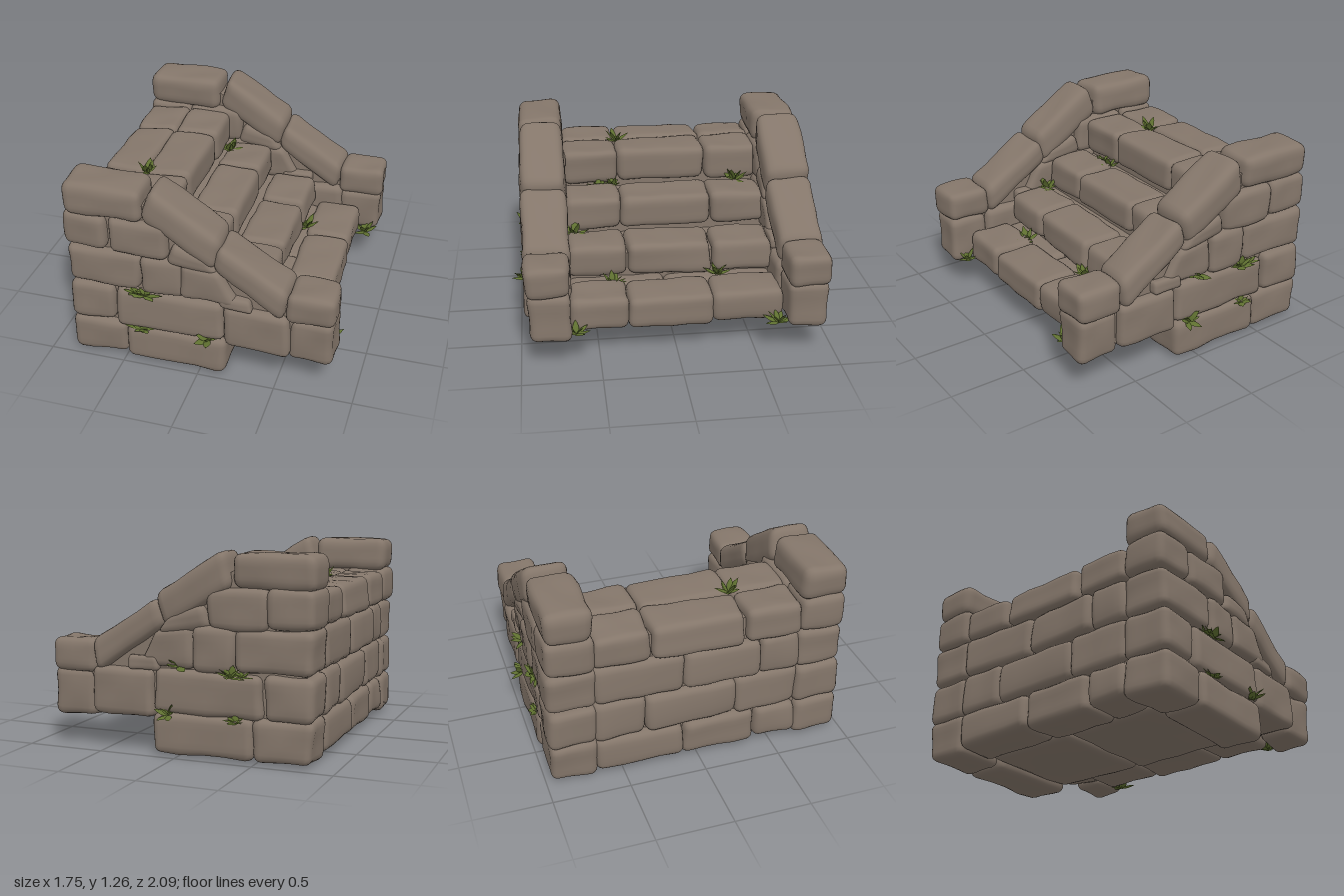
import * as THREE from 'three';
import { mergeVertices, mergeGeometries } from 'three/addons/utils/BufferGeometryUtils.js';

const stoneMat = new THREE.MeshStandardMaterial({ color: 0x84766a });
stoneMat.name = 'stone';
const leafMat = new THREE.MeshStandardMaterial({ color: 0x5f7030, side: THREE.DoubleSide });
leafMat.name = 'leaf green';

// Small seeded random generator
let seed = 7;
const rand = () => {
  seed = (seed * 16807) % 2147483647;
  return seed / 2147483647;
};
const jitter = (a) => (rand() * 2 - 1) * a;

// Worn stone: a rounded block stretched between four xy corners
// (bottom-left, bottom-right, top-right, top-left) and two z values
function stone(name, q, z0, z1, r = 0.05) {
  const w = (Math.hypot(q[1][0] - q[0][0], q[1][1] - q[0][1]) + Math.hypot(q[2][0] - q[3][0], q[2][1] - q[3][1])) / 2;
  const h = (Math.hypot(q[3][0] - q[0][0], q[3][1] - q[0][1]) + Math.hypot(q[2][0] - q[1][0], q[2][1] - q[1][1])) / 2;
  const size = [w, h, z1 - z0];
  r = Math.min(r, Math.min(...size) * 0.3);
  // Random shift for each of the eight corners
  const shift = Array.from({ length: 8 }, () => [jitter(0.013), jitter(0.01), jitter(0.011)]);
  const ph = [rand() * 6, rand() * 6, rand() * 6];

  let g = new THREE.BoxGeometry(2, 2, 2, 8, 8, 8);
  g.deleteAttribute('uv');
  g.deleteAttribute('normal');
  g = mergeVertices(g);
  const pos = g.attributes.position;
  for (let i = 0; i < pos.count; i++) {
    const c = [pos.getX(i), pos.getY(i), pos.getZ(i)];
    const inner = [], off = [];
    c.forEach((t, k) => {
      const a = Math.abs(t), half = size[k] / 2 - r;
      inner[k] = Math.sign(t) * half * Math.min(1, a * 2);
      off[k] = Math.sign(t) * Math.max(0, a * 2 - 1);
    });
    const len = Math.hypot(...off);
    const f = inner.map((v, k) => (v + (off[k] / len) * r) / size[k] + 0.5);
    // Bilinear placement in the quad
    const [u, v, s] = f;
    const p = [0, 1].map((k) =>
      (q[0][k] * (1 - u) + q[1][k] * u) * (1 - v) + (q[3][k] * (1 - u) + q[2][k] * u) * v);
    p.push(z0 + (z1 - z0) * s);
    for (let n = 0; n < 8; n++) {
      const wt = (n & 1 ? u : 1 - u) * (n & 2 ? v : 1 - v) * (n & 4 ? s : 1 - s);
      for (let k = 0; k < 3; k++) p[k] += shift[n][k] * wt;
    }
    // Gentle surface wear
    const wear = 0.005 * Math.sin(p[0] * 17 + ph[0]) * Math.sin(p[1] * 19 + ph[1]) + 0.004 * Math.sin(p[2] * 21 + p[0] * 13 + ph[2]);
    for (let k = 0; k < 3; k++) p[k] += (off[k] / len) * wear;
    pos.setXYZ(i, ...p);
  }
  g.computeVertexNormals();
  const m = new THREE.Mesh(g, stoneMat);
  m.name = name;
  return m;
}
const rect = (x0, x1, y0, y1) => [[x0, y0], [x1, y0], [x1, y1], [x0, y1]];

// Plain filling behind the stones
function core(name, pts, z0, z1) {
  const shape = new THREE.Shape(pts.map((p) => new THREE.Vector2(...p)));
  const g = new THREE.ExtrudeGeometry(shape, { depth: z1 - z0, bevelEnabled: false });
  g.translate(0, 0, z0);
  const m = new THREE.Mesh(g, stoneMat);
  m.name = name;
  return m;
}

// Clump of bent pointed leaves
function plant(x, y, z, side = 0, size = 0.085, flat = 1) {
  const leaves = [];
  for (let i = 0; i < 10; i++) {
    const l = size * (0.8 + rand() * 0.5);
    const g = new THREE.PlaneGeometry(1, 1, 2, 4);
    const p = g.attributes.position;
    for (let j = 0; j < p.count; j++) {
      const t = p.getY(j) + 0.5;
      const wide = 0.48 * l * Math.sin(Math.PI * (0.12 + 0.88 * t));
      p.setXYZ(j, p.getX(j) * wide, t * l, t * t * l * 0.35 + Math.abs(p.getX(j)) * wide * 0.5);
    }
    g.rotateX(i < 4 ? 0.15 + rand() * 0.3 : 0.6 + rand() * 0.5);
    g.rotateY(i * 2.4 + jitter(0.3));
    leaves.push(g);
  }
  const g = mergeGeometries(leaves);
  g.computeVertexNormals();
  const m = new THREE.Mesh(g, leafMat);
  m.name = 'plant';
  m.position.set(x, y, z);
  m.rotation.x = side * 0.45;
  m.scale.set(flat > 1 ? 1.25 : 1, 1 / flat, flat > 1 ? 0.5 : 1);
  return m;
}

export function createModel() {
  const model = new THREE.Group();
  model.name = 'stoneStairs';

  // Side walls: coursed stones, sloping rail and end post
  const blocks = [
    [-0.86, -0.49, 0.01, 0.265], [-0.49, 0.17, 0.005, 0.26],
    [-0.86, -0.55, 0.265, 0.535], [-0.55, 0.16, 0.25, 0.53], [0.155, 0.58, 0.215, 0.52],
    [-0.86, -0.37, 0.535, 0.8], [-0.37, -0.1, 0.53, 0.8], [0.13, 0.34, 0.515, 0.6],
    [-0.865, -0.58, 0.8, 1.04], [-0.58, -0.19, 0.79, 1.04],
  ].map((b) => rect(...b));
  blocks.push([[-0.12, 0.53], [0.26, 0.53], [0.14, 0.77], [-0.1, 0.8]]);
  blocks.push([[-0.22, 0.78], [0.13, 0.75], [0.05, 0.87], [-0.17, 0.93]]);
  const rail = [
    rect(-0.87, -0.35, 1.025, 1.25),
    [[-0.37, 1.05], [0.09, 0.77], [0.15, 0.98], [-0.3, 1.27]],
    [[0.08, 0.79], [0.54, 0.475], [0.575, 0.68], [0.14, 0.955]],
  ];
  const wallCore = [[-0.8, 0.06], [0.11, 0.06], [0.12, 0.26], [0.78, 0.25], [0.78, 0.6],
    [0.54, 0.55], [0.08, 0.87], [-0.36, 1.14], [-0.8, 1.17]];
  for (const s of [1, -1]) {
    const wall = new THREE.Group();
    wall.name = s > 0 ? 'frontWall' : 'backWall';
    const add = (name, q, a, b, r) =>
      wall.add(stone(name, q, Math.min(a * s, b * s), Math.max(a * s, b * s), r));
    blocks.forEach((q) => add('wallStone', q, 0.66, 0.965));
    rail.forEach((q) => add('railStone', q, 0.665, 0.965, 0.06));
    add('postStone', rect(0.57, 0.85, 0.19, 0.495), 0.685, 0.94);
    add('postCap', rect(0.555, 0.86, 0.48, 0.685), 0.68, 0.955);
    wall.add(core('wallFilling', wallCore, s > 0 ? 0.72 : -0.91, s > 0 ? 0.91 : -0.72));
    model.add(wall);
  }

  // Steps: three stones across each row
  const steps = new THREE.Group();
  steps.name = 'steps';
  const row = (name, x0, x1, y0, y1, seams) => {
    const e = [-0.675, ...seams, 0.675];
    for (let i = 0; i + 1 < e.length; i++) steps.add(stone(name, rect(x0, x1, y0, y1), e[i], e[i + 1]));
  };
  row('stepStone', 0.41, 0.72, 0.18, 0.395, [-0.23, 0.31]);
  row('stepStone', 0.07, 0.385, 0.385, 0.6, [-0.27, 0.29]);
  row('stepStone', -0.255, 0.06, 0.59, 0.805, [-0.31, 0.3]);
  row('topStone', -0.575, -0.265, 0.795, 1.025, [-0.31, 0.3]);
  // Rear face and underside
  row('rearStone', -0.865, -0.57, 0.8, 1.025, [-0.31, 0.3]);
  row('rearStone', -0.86, -0.57, 0.535, 0.805, [-0.1, 0.4]);
  row('rearStone', -0.86, -0.57, 0.265, 0.54, [-0.35, 0.25]);
  row('rearStone', -0.86, -0.57, 0.03, 0.27, [-0.1, 0.38]);
  row('baseStone', -0.58, 0.165, 0.035, 0.2, [0]);
  row('underStone', 0.1, 0.43, 0.175, 0.37, [0.05]);
  steps.add(core('stepFilling', [[-0.8, 0.09], [0.1, 0.09], [0.12, 0.24], [0.6, 0.24], [0.6, 0.33], [0.33, 0.34],
    [0.33, 0.53], [0.0, 0.54], [0.0, 0.74], [-0.32, 0.75], [-0.32, 0.96], [-0.8, 0.96]], -0.72, 0.72));
  model.add(steps);

  // Plants growing from the joints
  const plants = new THREE.Group();
  plants.name = 'plants';
  [
    [-0.55, 1.0, 0.29], [-0.23, 0.79, -0.52], [0.11, 0.59, 0.62], [0.4, 0.38, -0.3], [0.43, 0.36, 0.39],
    [0.77, 0.2, 0.65], [0.77, 0.2, -0.64],
    [-0.24, 0.78, 0.34, 0, 0.07], [-0.24, 0.77, 0.43, 0, 0.07],
    [0.06, 0.25, 0.95, 1], [0.06, 0.25, -0.95, -1], [0.0, 0.55, -0.93, -1, 0.08],
  ].forEach((p) => plants.add(plant(...p)));
  for (const s of [1, -1]) {
    plants.add(plant(-0.35, 0.51, s * 0.955, s, 0.085, 1.3));
    plants.add(plant(-0.42, 0.515, s * 0.95, s, 0.07, 2));
    plants.add(plant(-0.38, 0.24, s * 0.955, s, 0.08, 2));
  }
  model.add(plants);
  return model;
}
